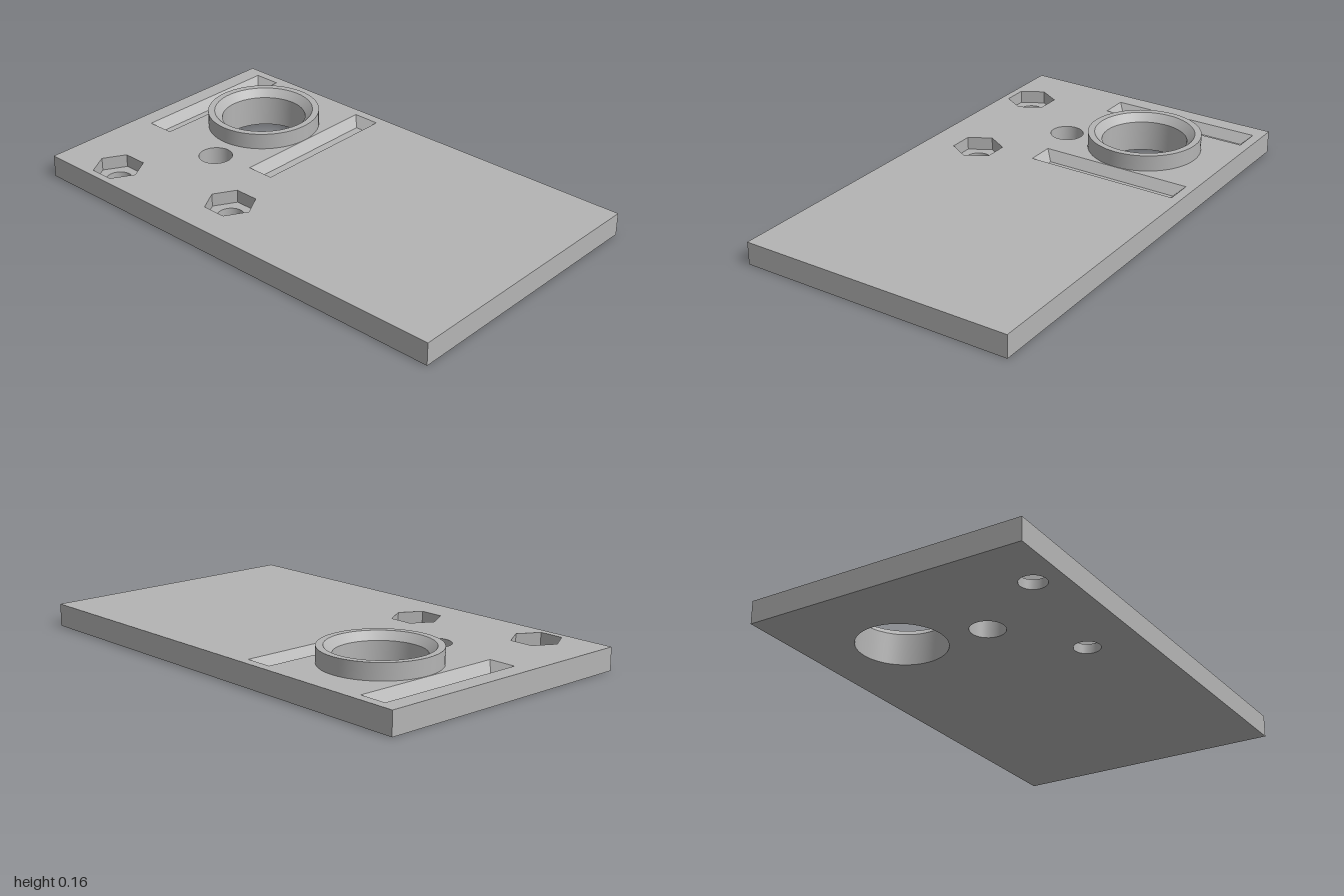
import * as THREE from 'three';
import { mergeGeometries } from 'three/addons/utils/BufferGeometryUtils.js';

const TOP = 0.095;      // plate thickness
const RIM = 0.163;      // top of the raised collar
const NUT_FLOOR = 0.04; // floor of the hexagonal pockets
const SLOT_DEPTH = 0.037;

// Closed outlines as [x, z] points, all running from +x towards +z
const round = (cx, cz, r, n = 64) => Array.from({ length: n }, (_, i) => {
  const a = (i / n) * Math.PI * 2;
  return [cx + r * Math.cos(a), cz + r * Math.sin(a)];
});
const rect = (cx, cz, w, d) =>
  [[1, 1], [-1, 1], [-1, -1], [1, -1]].map(([sx, sz]) => [cx + sx * w / 2, cz + sz * d / 2]);

// Wall between two outlines: bottom to top faces outwards, top to bottom faces inwards
function loft(a, ya, b, yb, smooth = false) {
  const n = a.length, pos = [], index = [];
  for (let i = 0; i < n; i++) pos.push(a[i][0], ya, a[i][1], b[i][0], yb, b[i][1]);
  for (let i = 0; i < n; i++) {
    const p = i * 2, q = ((i + 1) % n) * 2;
    index.push(p, p + 1, q, q, p + 1, q + 1);
  }
  let g = new THREE.BufferGeometry();
  g.setAttribute('position', new THREE.Float32BufferAttribute(pos, 3));
  g.setIndex(index);
  if (smooth) g.computeVertexNormals();
  g = g.toNonIndexed();
  if (!smooth) g.computeVertexNormals();
  return g;
}

// Horizontal face with holes, facing up or down
function face(outline, holes, y, up = true) {
  const s = up ? -1 : 1;
  const pts = (loop) => loop.map(([x, z]) => new THREE.Vector2(x, s * z));
  const shape = new THREE.Shape(pts(outline));
  shape.holes = holes.map((h) => new THREE.Path(pts(h)));
  const g = new THREE.ShapeGeometry(shape).rotateX(s * Math.PI / 2).translate(0, y, 0).toNonIndexed();
  g.deleteAttribute('uv');
  return g;
}

export function createModel() {
  const group = new THREE.Group();
  const grey = new THREE.MeshStandardMaterial({ color: 0xb4b4b4 });
  grey.name = 'grey';
  const add = (name, parts) => {
    const mesh = new THREE.Mesh(mergeGeometries(parts), grey);
    mesh.name = name;
    group.add(mesh);
  };

  const outline = rect(0, 0, 2, 1.176);
  const [cx, cz] = [-0.564, -0.2175];
  const collarOuter = round(cx, cz, 0.239);
  const collarInner = round(cx, cz, 0.211);
  const bore = round(cx, cz, 0.179);
  const pinHole = round(-0.504, 0.131, 0.07, 48);
  const nuts = [[-0.731, 0.467], [-0.176, 0.369]].map(([x, z]) => ({
    hex: round(x, z, 0.104, 6), hole: round(x, z, 0.0535, 40),
  }));
  const slots = [-0.866, -0.264].map((x) => ({
    rim: rect(x, -0.218, 0.119, 0.66), floor: rect(x, -0.218, 0.043, 0.584),
  }));

  // Plate with its openings
  add('plate', [
    loft(outline, 0, outline, TOP),
    face(outline, [collarOuter, pinHole, ...nuts.map((n) => n.hex), ...slots.map((s) => s.rim)], TOP),
    face(outline, [bore, pinHole, ...nuts.map((n) => n.hole)], 0, false),
  ]);

  // Raised collar, chamfered inside, with the bore running through the plate
  add('collar', [
    loft(collarOuter, TOP, collarOuter, RIM, true),
    loft(collarOuter, RIM, collarInner, RIM),
    loft(collarInner, RIM, bore, RIM - 0.032, true),
    loft(bore, RIM - 0.032, bore, 0, true),
  ]);

  // Plain through hole
  add('pinHole', [loft(pinHole, TOP, pinHole, 0, true)]);

  // Hexagonal nut pockets with screw holes
  nuts.forEach(({ hex, hole }, i) => add(`nutPocket${i + 1}`, [
    loft(hex, TOP, hex, NUT_FLOOR),
    face(hex, [hole], NUT_FLOOR),
    loft(hole, NUT_FLOOR, hole, 0, true),
  ]));

  // Long recesses with sloping sides
  slots.forEach(({ rim, floor }, i) => add(`slopedSlot${i + 1}`, [
    loft(rim, TOP, floor, TOP - SLOT_DEPTH),
    face(floor, [], TOP - SLOT_DEPTH),
  ]));

  return group;
}
